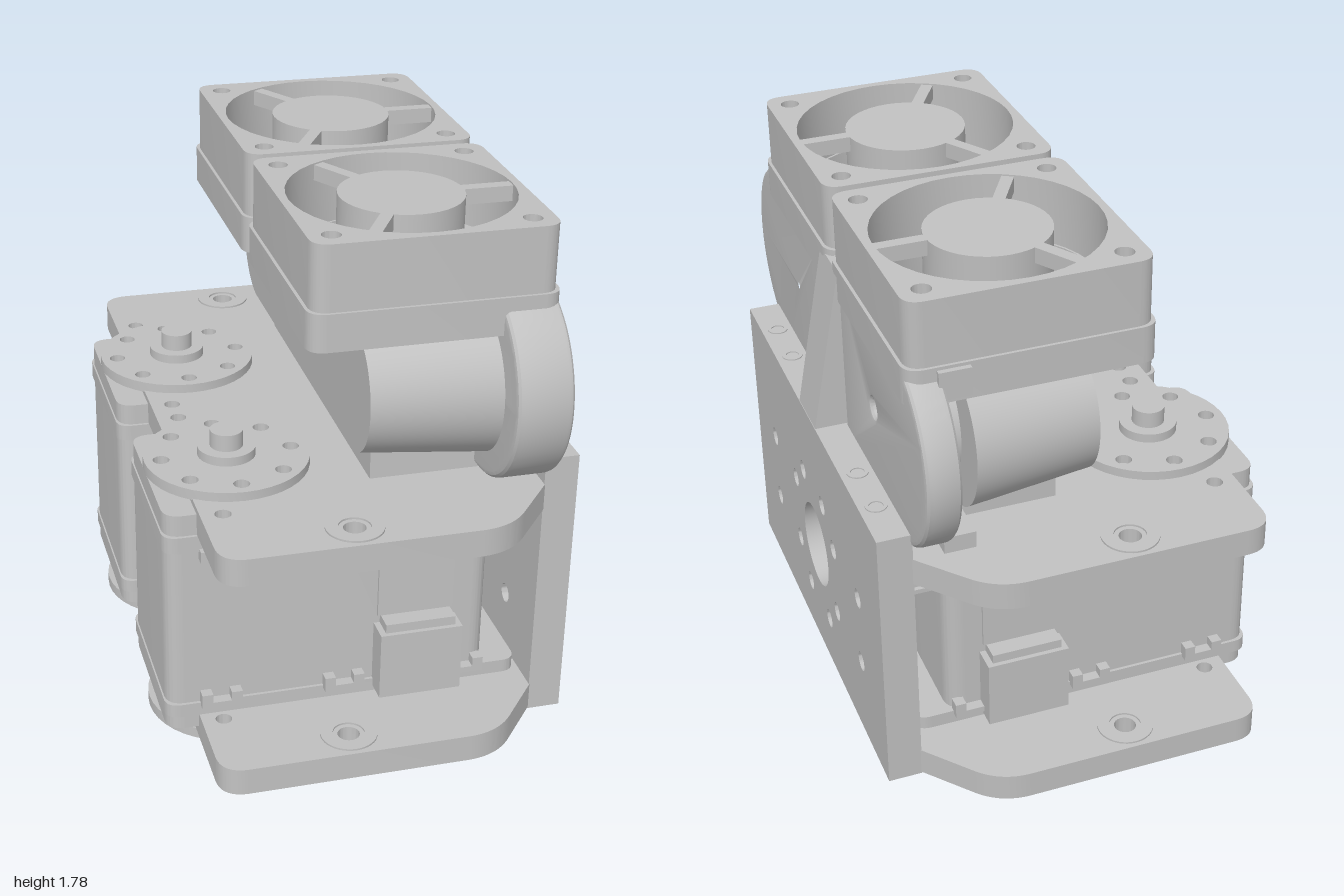
import * as THREE from 'three';
import { toCreasedNormals } from 'three/addons/utils/BufferGeometryUtils.js';

const metal = new THREE.MeshStandardMaterial({ color: 0xc0c0c0 });
metal.name = 'plain grey';

// polygon with rounded corners; points are [a, b, radius]
function roundedShape(pts) {
  const s = new THREE.Shape(), n = pts.length;
  const toward = (p, q, r) => {
    const d = Math.hypot(q[0] - p[0], q[1] - p[1]);
    return [p[0] + (q[0] - p[0]) * r / d, p[1] + (q[1] - p[1]) * r / d];
  };
  pts.forEach((p, i) => {
    const r = p[2] || 0;
    const a = toward(p, pts[(i + n - 1) % n], r), b = toward(p, pts[(i + 1) % n], r);
    if (i === 0) s.moveTo(...a); else s.lineTo(...a);
    if (r) s.quadraticCurveTo(p[0], p[1], ...b);
  });
  s.closePath();
  return s;
}
const rect = (x0, x1, y0, y1, r = 0) => roundedShape([[x0, y0, r], [x1, y0, r], [x1, y1, r], [x0, y1, r]]);
function punch(shape, holes) {
  for (const [a, b, r] of holes) shape.holes.push(new THREE.Path().absarc(a, b, r, 0, Math.PI * 2, true));
  return shape;
}

export function createModel() {
  const model = new THREE.Group();
  const body = new THREE.Group();   // whole assembly leans slightly
  body.name = 'tiltedAssembly';

  function add(name, geo, x = 0, y = 0, z = 0, parent = body) {
    const m = new THREE.Mesh(geo, metal);
    m.name = name;
    m.position.set(x, y, z);
    parent.add(m);
    return m;
  }
  const box = (name, x0, x1, y0, y1, z0, z1) =>
    add(name, new THREE.BoxGeometry(x1 - x0, y1 - y0, z1 - z0), (x0 + x1) / 2, (y0 + y1) / 2, (z0 + z1) / 2);
  const disc = (name, r, y0, y1, x, z) =>
    add(name, new THREE.CylinderGeometry(r, r, y1 - y0, 40), x, (y0 + y1) / 2, z);
  const extrude = (shape, depth) => new THREE.ExtrudeGeometry(shape, { depth, bevelEnabled: false, curveSegments: 20 });
  // (x, z) outline raised from y0 to y1
  const slab = (name, shape, y0, y1) =>
    add(name, toCreasedNormals(extrude(shape, y1 - y0).rotateX(Math.PI / 2), 0.5), 0, y1);
  // (-z, y) outline running from x0 to x1
  const sideSlab = (name, shape, x0, x1) =>
    add(name, toCreasedNormals(extrude(shape, x1 - x0).rotateY(Math.PI / 2), 0.5), x0);

  // upper and lower bracket plates
  for (const [name, y0, y1] of [['upperPlate', 0.8, 0.89], ['lowerPlate', 0.06, 0.15]]) {
    const s = roundedShape([[-0.53, -0.985, 0.09], [0.36, -0.985, 0.1], [0.56, -0.745], [0.56, 0.745],
      [0.36, 0.985, 0.1], [-0.53, 0.985, 0.09]]);
    const holes = [[-0.1, 0.88, 0.035], [-0.1, -0.88, 0.035]];
    for (const z of [-0.71, -0.05, 0.05, 0.71]) holes.push([-0.46, z, 0.026]);
    slab(name, punch(s, holes), y0, y1);
    for (const z of [-0.88, 0.88]) {
      const ring = punch(new THREE.Shape().absarc(-0.1, z, 0.09, 0, Math.PI * 2), [[-0.1, z, 0.05]]);
      slab('screwSeat', ring, y1, y1 + 0.006);
    }
  }

  // back plate with its round opening and mounting holes
  const back = rect(-0.76, 0.76, 0.055, 0.978);
  const holes = [[0, 0.465, 0.145]];
  for (const s of [-1, 1]) {
    for (const y of [0.345, 0.595]) holes.push([s * 0.505, y, 0.032], [s * 0.228, y, 0.032]);
    for (const y of [0.235, 0.695]) holes.push([s * 0.115, y, 0.032]);
  }
  sideSlab('backPlate', punch(back, holes), 0.545, 0.655);
  for (const z of [-0.58, -0.385, 0.385, 0.58]) {
    slab('topHoleRim', punch(new THREE.Shape().absarc(0.6, z, 0.034, 0, Math.PI * 2), [[0.6, z, 0.022]]), 0.978, 0.982);
  }

  // servos
  for (const c of [-0.385, 0.385]) {
    slab('servoBody', rect(-0.63, 0.42, c - 0.275, c + 0.275, 0.06), 0.1, 0.87);
    slab('servoUpperCap', rect(-0.635, 0.53, c - 0.285, c + 0.285, 0.05), 0.745, 0.8);
    slab('servoLowerCap', rect(-0.635, 0.53, c - 0.285, c + 0.285, 0.05), 0.15, 0.195);
    for (let i = 0; i < 3; i++) {
      box('hingeRib', 0.42, 0.53, 0.67 + i * 0.027, 0.685 + i * 0.027, c - 0.26, c + 0.26);
    }
    for (const s of [-1, 1]) {
      const zs = d => [Math.min(c + s * 0.27, c + s * d), Math.max(c + s * 0.27, c + s * d)];
      box('connector', 0.04, 0.31, 0.17, 0.4, ...zs(0.36));
      box('connectorTop', 0.06, 0.29, 0.4, 0.43, ...zs(0.345));
      box('sidePanel', 0.05, 0.3, 0.43, 0.7, ...zs(0.285));
      for (const x of [-0.46, -0.06, 0.34]) {
        for (const [y0, y1] of [[0.185, 0.235], [0.715, 0.755]]) {
          box('screwTab', x - 0.065, x - 0.03, y0, y1, ...zs(0.31));
          box('screwTab', x + 0.03, x + 0.065, y0, y1, ...zs(0.31));
          box('screwTabBridge', x - 0.065, x + 0.065, y0 < 0.5 ? 0.185 : 0.735, y0 < 0.5 ? 0.205 : 0.755, ...zs(0.31));
        }
      }
    }
    // output horns with a ring of holes
    for (const [name, y0, y1] of [['upperHorn', 0.885, 0.92], ['lowerHorn', 0.012, 0.048]]) {
      const ring = [];
      for (let i = 0; i < 8; i++) {
        const a = i * Math.PI / 4;
        ring.push([-0.375 + Math.cos(a) * 0.208, c + Math.sin(a) * 0.208, 0.026]);
      }
      slab(name, punch(new THREE.Shape().absarc(-0.375, c, 0.262, 0, Math.PI * 2), ring), y0, y1);
    }
    disc('upperHub', 0.092, 0.91, 0.95, -0.375, c);
    disc('outputShaft', 0.052, 0.94, 1.005, -0.375, c);
    disc('lowerNeck', 0.15, 0.04, 0.11, -0.375, c);
    slab('lowerHub', punch(new THREE.Shape().absarc(-0.375, c, 0.092, 0, Math.PI * 2), [[-0.375, c, 0.045]]), 0.0, 0.02);
  }

  // support foot and triangular gusset
  box('supportFoot', 0.03, 0.4, 0.87, 1.0, -0.6, 0.6);
  const gusset = new THREE.Shape([[0.36, 0.9], [0.655, 0.97], [0.55, 1.52], [0.36, 1.52]].map(p => new THREE.Vector2(...p)));
  add('gusset', extrude(gusset, 0.19), 0, 0, -0.095);

  // tapering long body: rounded ends shrink toward the open side
  const stadium = new THREE.Shape();
  stadium.absarc(0.6, 1.215, 0.24, -Math.PI / 2, Math.PI / 2);
  stadium.absarc(-0.6, 1.215, 0.24, Math.PI / 2, Math.PI * 1.5);
  const loft = extrude(stadium, 0.4).rotateY(Math.PI / 2);
  const p = loft.attributes.position;
  for (let i = 0; i < p.count; i++) {
    if (p.getX(i) > 0.2) continue;
    const z = p.getZ(i), over = Math.max(Math.abs(z) - 0.6, 0);
    p.setY(i, 1.215 + (p.getY(i) - 1.215) * 0.85);
    p.setZ(i, z - Math.sign(z) * over * 0.2);
  }
  add('taperedBody', toCreasedNormals(loft, 0.5), -0.035);
  const core = new THREE.Shape();
  core.absarc(0.5, 1.215, 0.2, -Math.PI / 2, Math.PI / 2);
  core.absarc(-0.5, 1.215, 0.2, Math.PI / 2, Math.PI * 1.5);
  sideSlab('bodyCore', core, 0.35, 0.47);

  // round-ended back housings; s is the side along z
  for (const s of [-1, 1]) {
    const h = new THREE.Shape();
    h.moveTo(-s * 0.09, 0.9);
    h.lineTo(-s * 0.62, 0.9);
    h.absarc(-s * 0.62, 1.22, 0.32, -Math.PI / 2, Math.PI / 2, s > 0);
    h.lineTo(-s * 0.09, 1.54);
    h.closePath();
    const x0 = s > 0 ? 0.37 : 0.44;
    h.holes.push(new THREE.Path().absarc(-s * 0.42, 1.22, 0.03, 0, Math.PI * 2, true));
    const g = new THREE.ExtrudeGeometry(h, { depth: 0.55 - x0 - 0.04, bevelThickness: 0.02, bevelSize: 0.02, bevelOffset: -0.02, bevelSegments: 3, curveSegments: 24 });
    add('backHousing', toCreasedNormals(g.rotateY(Math.PI / 2), 0.5), x0 + 0.02);
  }
  box('upperClip', 0.36, 0.46, 1.44, 1.53, -0.8, -0.66);
  box('lowerClip', 0.36, 0.46, 0.915, 0.97, -0.8, -0.62);

  // fans on their mounting trays
  const fx = 0.165;
  for (const c of [-0.395, 0.395]) {
    const corners = [];
    for (const a of [-1, 1]) for (const b of [-1, 1]) corners.push([fx + a * 0.305, c + b * 0.305, 0.03]);
    const frame = (h, r) => punch(rect(fx - h, fx + h, c - h, c + h, 0.06), [[fx, c, r], ...corners]);
    slab('fanTray', frame(0.388, 0.345), 1.42, 1.54);
    slab('fanFrame', frame(0.378, 0.352), 1.54, 1.75);
    disc('fanHub', 0.195, 1.57, 1.745, fx, c);
    for (let i = 0; i < 3; i++) {
      const a = i * Math.PI * 2 / 3;
      add('fanSpoke', new THREE.BoxGeometry(0.2, 0.05, 0.04), fx + Math.cos(a) * 0.265, 1.72, c + Math.sin(a) * 0.265)
        .rotation.y = -a;
    }
    // vent ribs under the fan
    for (let i = 0; i < 4; i++) {
      const z = c * 0.55 + (i - 1.5) * 0.045;
      box('ventRib', 0.2, 0.32, 1.44, 1.465, z - 0.01, z + 0.01);
    }
  }

  // lean about a pivot at mid height
  const lean = new THREE.Group();
  lean.name = 'lean';
  body.position.y = -0.9;
  lean.add(body);
  lean.position.set(0, 0.9, -0.012);
  lean.rotation.set(-0.031, 0, -0.025);
  model.add(lean);
  return model;
}
